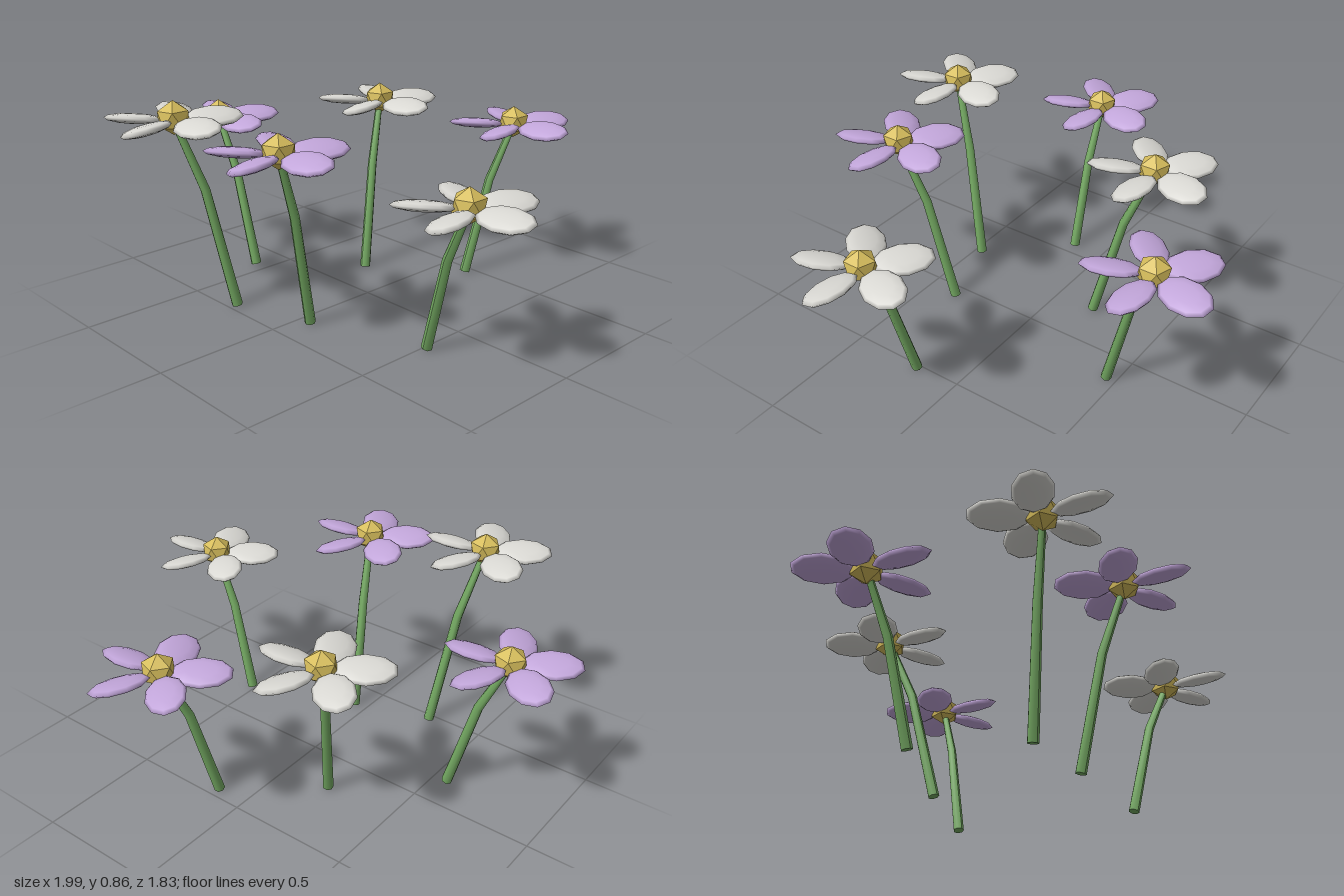
import * as THREE from 'three';

const mat = (name, color, flatShading = false) => {
  const m = new THREE.MeshStandardMaterial({ color, flatShading });
  m.name = name;
  return m;
};

// Stem: a tapered cylinder with one bend, its three rings moved onto a path
function stemGeometry(base, head) {
  const mid = base.clone().lerp(head, 0.5);
  mid.y = head.y * 0.64;
  const path = [base, mid, head];
  const radii = [0.022, 0.019, 0.014];
  const up = new THREE.Vector3(0, 1, 0);
  const lower = mid.clone().sub(base).normalize();
  const upper = head.clone().sub(mid).normalize();
  const dirs = [lower, lower.clone().add(upper).normalize(), upper];
  const turns = dirs.map((d) => new THREE.Quaternion().setFromUnitVectors(up, d));

  const geo = new THREE.CylinderGeometry(1, 1, 2, 7, 2);
  const pos = geo.attributes.position;
  const v = new THREE.Vector3();
  for (let i = 0; i < pos.count; i++) {
    v.fromBufferAttribute(pos, i);
    const ring = Math.round(v.y) + 1;
    v.y = 0;
    v.multiplyScalar(radii[ring]).applyQuaternion(turns[ring]).add(path[ring]);
    pos.setXYZ(i, v.x, v.y, v.z);
  }
  geo.computeVertexNormals();
  return geo;
}

// Petal: a flattened low-poly ellipsoid rolled about its long axis
function petalGeometry() {
  const geo = new THREE.SphereGeometry(1, 10, 6);
  geo.rotateY(Math.PI / 10);
  geo.scale(0.118, 0.021, 0.077);
  geo.rotateX(0.25);
  geo.translate(0.155, 0, 0);
  return geo;
}

// Flower centre: an icosahedron standing on one corner
function centreGeometry() {
  const geo = new THREE.IcosahedronGeometry(0.067, 0);
  geo.rotateZ(Math.atan(2 / (1 + Math.sqrt(5))));
  geo.translate(0, 0.011, 0);
  return geo;
}

export function createModel() {
  const model = new THREE.Group();
  model.name = 'flowerPatch';

  const green = mat('stemGreen', 0x74a962);
  const yellow = mat('centreYellow', 0xd6bd5c, true);
  const purple = mat('petalPurple', 0xc2a6da);
  const white = mat('petalWhite', 0xd9d8d3);

  const petalGeo = petalGeometry();
  const centreGeo = centreGeometry();

  // Each flower: head x, y, z, then stem foot x, z, then petal colour
  const flowers = [
    [0.195, 0.636, -0.663, 0.13, -0.456, purple],
    [-0.313, 0.70, -0.369, -0.205, -0.18, white],
    [-0.772, 0.634, 0.158, -0.56, 0.145, purple],
    [0.725, 0.608, 0.222, 0.515, 0.19, white],
    [0.133, 0.736, 0.553, 0.057, 0.36, purple],
    [-0.37, 0.78, 0.647, -0.268, 0.466, white],
  ];

  for (const [x, y, z, footX, footZ, petalMat] of flowers) {
    const flower = new THREE.Group();
    flower.name = 'flower';
    const head = new THREE.Group();
    head.name = 'flowerHead';
    head.position.set(x, y, z);

    for (let i = 0; i < 5; i++) {
      const petal = new THREE.Mesh(petalGeo, petalMat);
      petal.name = 'petal';
      petal.rotation.y = (i * Math.PI * 2) / 5;
      head.add(petal);
    }
    const centre = new THREE.Mesh(centreGeo, yellow);
    centre.name = 'flowerCentre';
    head.add(centre);

    const foot = new THREE.Vector3(footX, 0.007, footZ);
    const stem = new THREE.Mesh(stemGeometry(foot, head.position.clone()), green);
    stem.name = 'stem';
    flower.add(stem, head);
    model.add(flower);
  }
  return model;
}
